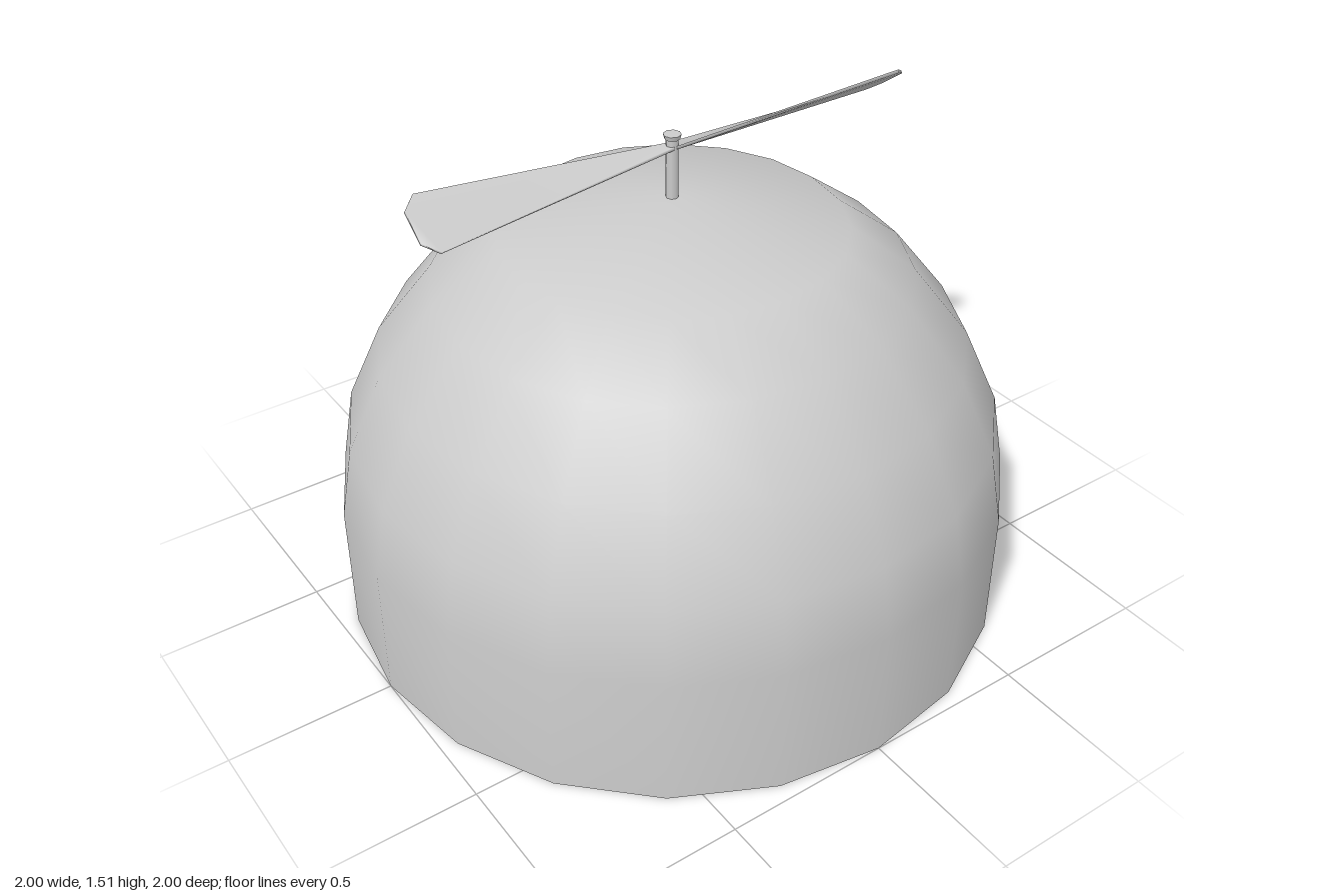
import * as THREE from 'three';
import { mergeVertices } from 'three/addons/utils/BufferGeometryUtils.js';

const SIDES = 20;

// Share vertices so that normals blend over the whole part
function smoothed(geometry) {
  geometry.deleteAttribute('normal');
  geometry.deleteAttribute('uv');
  const merged = mergeVertices(geometry, 1e-4);
  merged.computeVertexNormals();
  return merged;
}

// Thin blade along +z: flat narrow root, pitched wide end with clipped corners
function makeBlade(length, thickness, pitch) {
  const outline = new THREE.Shape([
    [-0.016, 0], [0.016, 0], [0.086, 0.75], [0.048, length], [-0.048, length], [-0.086, 0.75],
  ].map(([x, y]) => new THREE.Vector2(x, y)));
  const blade = new THREE.ExtrudeGeometry(outline, { depth: thickness, bevelEnabled: false })
    .translate(0, 0, -thickness / 2)
    .rotateX(Math.PI / 2);
  const position = blade.attributes.position;
  const axis = new THREE.Vector3(0, 0, 1);
  const v = new THREE.Vector3();
  for (let i = 0; i < position.count; i++) {
    v.fromBufferAttribute(position, i);
    v.applyAxisAngle(axis, -pitch * Math.min(1, v.z / 0.75));
    position.setXYZ(i, v.x, v.y, v.z);
  }
  return smoothed(blade);
}

export function createModel() {
  const model = new THREE.Group();
  const grey = new THREE.MeshStandardMaterial({ color: 0xcccccc });
  const openShell = new THREE.MeshStandardMaterial({ color: 0xcccccc, side: THREE.DoubleSide });

  const add = (name, geometry, material, y = 0, parent = model) => {
    const mesh = new THREE.Mesh(geometry, material);
    mesh.name = name;
    mesh.position.y = y;
    parent.add(mesh);
    return mesh;
  };

  // Cap: thin shell open below, with straight band, rounded crown and shallow cone on top
  const profile = [[1, 0], [1, 0.41], [0.96, 0.63], [0.855, 0.86], [0.69, 1.07], [0.5, 1.21], [0, 1.302]]
    .map(([r, y]) => new THREE.Vector2(r, y));
  add('capDome', smoothed(new THREE.LatheGeometry(profile, SIDES)), openShell);

  // Spinner: mast with a small stopper on top
  const propeller = new THREE.Group();
  propeller.name = 'propeller';
  model.add(propeller);
  add('mast', new THREE.CylinderGeometry(0.018, 0.018, 0.19, 8), grey, 1.385, propeller);
  add('mastStopper', new THREE.CylinderGeometry(0.026, 0.022, 0.014, 8), grey, 1.483, propeller);

  // Two blades pitched in opposite directions
  const bladeGeometry = makeBlade(0.79, 0.01, 0.65);
  ['frontBlade', 'backBlade'].forEach((name, i) => {
    add(name, bladeGeometry, grey, 1.453, propeller).rotation.y = i * Math.PI;
  });

  return model;
}
